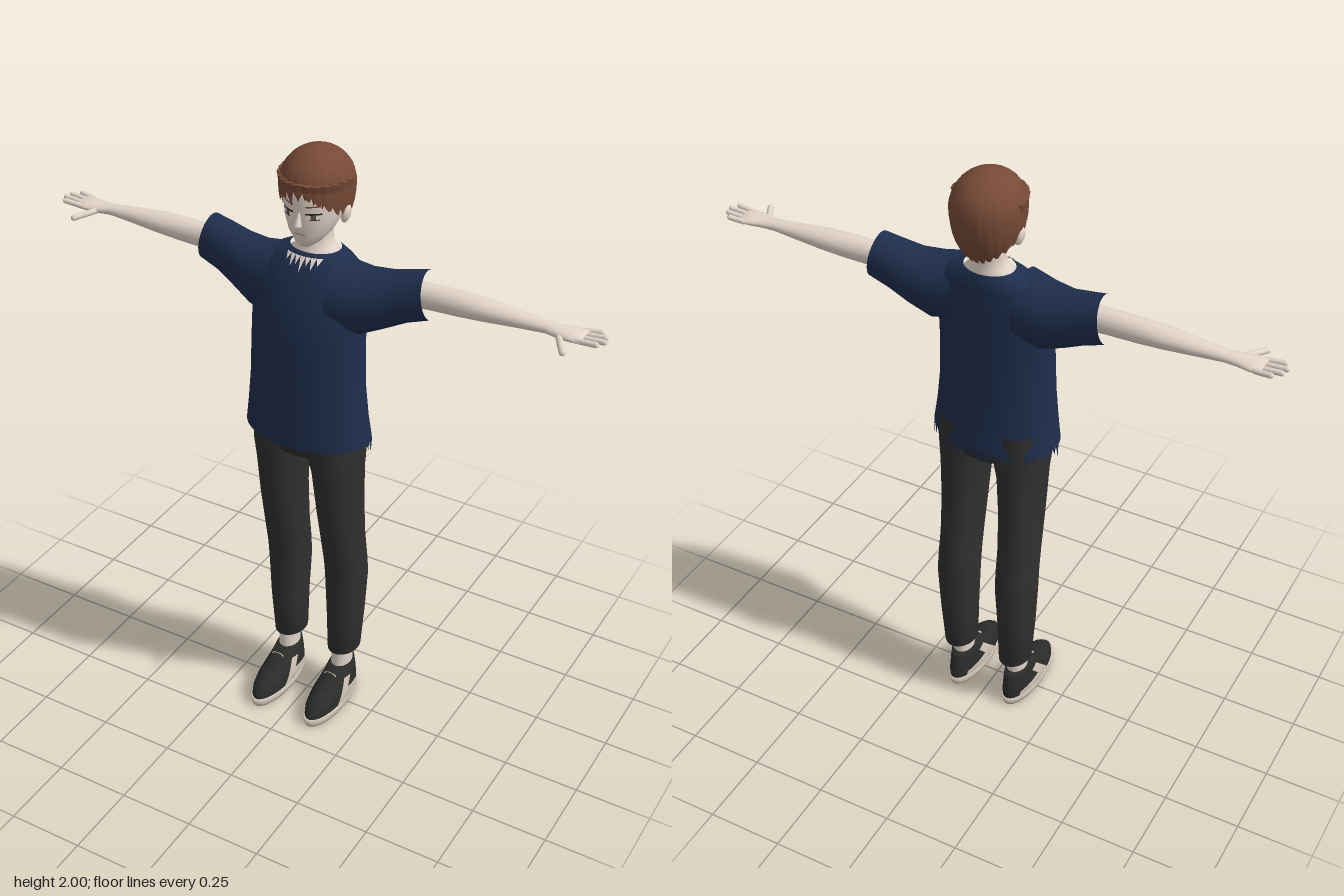
import * as THREE from 'three';

const paint = (name, color, side = THREE.FrontSide) => {
  const m = new THREE.MeshStandardMaterial({ color, side });
  m.name = name;
  return m;
};

// Upright cross-sections: [y, centre x, half width, front z, back z]
const shirtRings = [
  [1.075, 0, 0.21, 0.135, -0.145], [1.15, 0, 0.2, 0.132, -0.135], [1.25, 0, 0.19, 0.13, -0.13],
  [1.4, 0, 0.185, 0.125, -0.13], [1.5, 0, 0.185, 0.112, -0.13], [1.58, 0, 0.185, 0.085, -0.128],
  [1.64, 0, 0.168, 0.055, -0.125], [1.67, 0, 0.125, 0.035, -0.12], [1.69, 0, 0.08, 0.015, -0.112],
];
const headRings = [
  [1.715, 0, 0.02, 0.03, -0.02], [1.73, 0, 0.04, 0.042, -0.05], [1.76, 0, 0.066, 0.048, -0.08],
  [1.8, 0, 0.085, 0.052, -0.12], [1.85, 0, 0.095, 0.05, -0.14], [1.9, 0, 0.09, 0.045, -0.14],
  [1.95, 0, 0.072, 0.02, -0.12], [1.975, 0, 0.035, -0.02, -0.09],
];
const neckRings = [
  [1.62, 0, 0.1, 0.03, -0.11], [1.67, 0, 0.085, 0.018, -0.108], [1.695, 0, 0.056, 0.003, -0.102],
  [1.73, 0, 0.05, -0.005, -0.1], [1.78, 0, 0.05, 0, -0.11],
];
const legRings = [
  [0.19, 0.103, 0.052, 0, -0.135], [0.35, 0.107, 0.06, 0.009, -0.145], [0.5, 0.107, 0.068, 0.012, -0.152],
  [0.57, 0.106, 0.067, 0.022, -0.147], [0.65, 0.105, 0.066, 0.04, -0.137], [0.8, 0.103, 0.069, 0.07, -0.127],
  [0.95, 0.1, 0.076, 0.09, -0.127], [1.03, 0.094, 0.091, 0.1, -0.127], [1.14, 0.092, 0.092, 0.1, -0.127],
];
const hipRings = [[1.02, 0, 0.165, 0.09, -0.12], [1.06, 0, 0.182, 0.1, -0.126], [1.2, 0, 0.17, 0.1, -0.12]];
const ankleRings = [[0.06, 0.103, 0.034, 0, -0.1], [0.14, 0.103, 0.033, -0.008, -0.098], [0.22, 0.103, 0.036, -0.015, -0.105]];
const soleRings = [[0, 0.103, 0.053, 0.175, -0.125], [0.012, 0.103, 0.057, 0.181, -0.13], [0.03, 0.103, 0.056, 0.179, -0.129]];
const shoeRings = [
  [0.028, 0.103, 0.054, 0.175, -0.127], [0.05, 0.103, 0.054, 0.17, -0.127], [0.07, 0.103, 0.051, 0.148, -0.125],
  [0.09, 0.103, 0.046, 0.1, -0.122], [0.11, 0.103, 0.041, 0.05, -0.117], [0.132, 0.103, 0.036, 0.018, -0.112],
];
// Sideways cross-sections: [x, top y, bottom y, front z, back z, tilt]
const sleeveRings = [
  [0.1, 1.68, 1.47, 0.085, -0.12], [0.18, 1.665, 1.455, 0.07, -0.125], [0.25, 1.668, 1.485, 0.04, -0.122],
  [0.32, 1.685, 1.52, 0.02, -0.118], [0.378, 1.695, 1.545, 0.01, -0.115, -0.013],
];
const armRings = [
  [0.2, 1.65, 1.56, -0.005, -0.095], [0.38, 1.655, 1.575, -0.015, -0.088], [0.48, 1.655, 1.58, -0.013, -0.094],
  [0.56, 1.651, 1.586, -0.015, -0.094], [0.66, 1.642, 1.594, -0.025, -0.086], [0.74, 1.634, 1.6, -0.031, -0.079],
  [0.78, 1.632, 1.6, -0.022, -0.082], [0.82, 1.631, 1.602, -0.014, -0.092], [0.855, 1.628, 1.606, -0.014, -0.095],
];

function build(positions, index) {
  const g = new THREE.BufferGeometry();
  g.setAttribute('position', new THREE.Float32BufferAttribute(positions, 3));
  g.setIndex(index);
  g.computeVertexNormals();
  return g;
}

// Skins a row of elliptical cross-sections; skip(ring, angle) leaves holes
function loft(rings, { n = 32, sideways = false, caps = '', skip = () => false } = {}) {
  const p = [], idx = [];
  const tri = (a, b, c) => (sideways ? idx.push(a, c, b) : idx.push(a, b, c));
  for (const [t, a, b, f, k, tilt = 0] of rings) {
    for (let i = 0; i < n; i++) {
      const th = (i / n) * Math.PI * 2, c = Math.cos(th);
      const z = (f + k) / 2 + ((f - k) / 2) * Math.sin(th);
      if (sideways) p.push(t + tilt * c, (a + b) / 2 + ((a - b) / 2) * c, z);
      else p.push(a + b * c, t, z);
    }
  }
  for (let j = 0; j < rings.length - 1; j++) for (let i = 0; i < n; i++) {
    if (skip(j, ((i + 0.5) / n) * Math.PI * 2)) continue;
    const a = j * n + i, b = j * n + ((i + 1) % n);
    tri(a, a + n, b);
    tri(b, a + n, b + n);
  }
  const cap = (j, last) => {
    const [t, a, b, f, k] = rings[j], c = p.length / 3;
    p.push(...(sideways ? [t, (a + b) / 2, (f + k) / 2] : [a, t, (f + k) / 2]));
    for (let i = 0; i < n; i++) {
      const u = j * n + i, v = j * n + ((i + 1) % n);
      last ? tri(u, c, v) : tri(u, v, c);
    }
  };
  if (caps.includes('start')) cap(0, false);
  if (caps.includes('end')) cap(rings.length - 1, true);
  return build(p, idx);
}

// Cross-section at a height, and points lying just off the lofted surface
function section(rings, y) {
  let j = 0;
  while (j < rings.length - 2 && rings[j + 1][0] < y) j++;
  const s = (y - rings[j][0]) / (rings[j + 1][0] - rings[j][0]);
  return rings[j].map((v, i) => v + (rings[j + 1][i] - v) * s);
}
const onFront = (rings, lift) => (x, y) => {
  const [, cx, rx, f, k] = section(rings, y);
  return [x, y, (f + k) / 2 + ((f - k) / 2) * Math.sqrt(Math.max(0, 1 - ((x - cx) / rx) ** 2)) + lift];
};
const onSide = (rings, lift, s) => (z, y) => {
  const [, cx, rx, f, k] = section(rings, y);
  return [cx + s * (rx * Math.sqrt(Math.max(0, 1 - ((z - (f + k) / 2) / ((f - k) / 2)) ** 2)) + lift), y, z];
};

// Four-cornered painted patch draped on a surface, corners anticlockwise from outside
function patch(corners, map, flip = false, n = 6) {
  const p = [], idx = [], mix = (a, b, t) => a + (b - a) * t;
  for (let j = 0; j <= n; j++) for (let i = 0; i <= n; i++) {
    const q = [0, 1].map(k => mix(mix(corners[0][k], corners[1][k], i / n), mix(corners[3][k], corners[2][k], i / n), j / n));
    p.push(...map(...q));
    if (i < n && j < n) {
      const a = j * (n + 1) + i, c = a + n + 1;
      idx.push(...(flip ? [a, c, a + 1, a + 1, c, c + 1] : [a, a + 1, c, a + 1, c + 1, c]));
    }
  }
  return build(p, idx);
}

// Ragged edge: triangles seen from both sides; map(t, drop) gives a point
function teeth(count, map, depth) {
  const p = [], idx = [];
  for (let i = 0; i < count; i++) {
    const v = i * 6, pts = [map(i / count, 0), map((i + 0.5) / count, depth(i)), map((i + 1) / count, 0)];
    p.push(...pts.flat(), ...pts.flat());
    idx.push(v, v + 1, v + 2, v + 3, v + 5, v + 4);
  }
  return build(p, idx);
}

function mirrored(g) {
  const m = g.clone().applyMatrix4(new THREE.Matrix4().makeScale(-1, 1, 1));
  const a = m.index.array;
  for (let i = 0; i < a.length; i += 3) [a[i], a[i + 1]] = [a[i + 1], a[i]];
  return m;
}

// Hair cap whose lower edge drops from the brow to the nape
function hairCap(n = 72, m = 14) {
  const p = [], idx = [];
  for (let j = 0; j <= m; j++) for (let i = 0; i < n; i++) {
    const th = (i / n) * Math.PI * 2, front = Math.sin(th);
    const edge = (front > 0 ? 1.815 + 0.075 * front ** 2 : 1.815 + 0.075 * front) + [0, 0.014, -0.006][i % 3];
    const low = (edge - 1.89) / (edge > 1.89 ? 0.11 : 0.19);
    const a = (j / m) * Math.acos(low), c = Math.cos(a);
    const r = Math.sin(a) * (1 + 0.012 * Math.cos(th * 24) * (j / m));
    p.push(0.11 * r * Math.cos(th), 1.89 + (c > 0 ? 0.11 : 0.19) * c, -0.055 + 0.122 * r * front);
    if (j < m) {
      const u = j * n + i, v = j * n + ((i + 1) % n);
      idx.push(u, v, u + n, v, v + n, u + n);
    }
  }
  return build(p, idx);
}

export function createModel() {
  const model = new THREE.Group();
  const skin = paint('skin', 0xe4d6cb), navy = paint('navy cloth', 0x1f2e4d), black = paint('charcoal cloth', 0x303030);
  const brown = paint('brown hair', 0x774a36, THREE.DoubleSide), leather = paint('dark shoe', 0x2a2c2a);
  const cream = paint('cream rubber', 0xcdc0b3), ink = paint('dark lash', 0x2b2320);
  const white = paint('eye white', 0xf2eeea), iris = paint('iris', 0x6a5448), lip = paint('lip', 0xb98f84);
  const add = (name, geometry, material) => {
    const mesh = new THREE.Mesh(geometry, material);
    mesh.name = name;
    model.add(mesh);
    return mesh;
  };
  const pair = (name, g, material) => {
    add(name + 'Left', g, material);
    add(name + 'Right', mirrored(g), material);
  };

  // Shirt, open at the neck, hem and sleeves
  add('shirtBody', loft(shirtRings, { n: 48, skip: (j, th) => (j === 4 || j === 5) && Math.abs(Math.cos(th)) > 0.87 }), navy);
  pair('sleeve', loft(sleeveRings, { sideways: true }), navy);
  add('raggedHem', teeth(26, (t, d) => {
    const th = Math.PI * (0.98 + 1.04 * t), grow = 1 + d * 0.25;
    return [0.21 * grow * Math.cos(th), 1.078 - d, -0.005 + 0.14 * grow * Math.sin(th)];
  }, i => [0.045, 0.025, 0.035][i % 3]), navy);

  // Trousers
  add('hips', loft(hipRings, { caps: 'start' }), black);
  pair('trouserLeg', loft(legRings, { n: 24, caps: 'start' }), black);

  // Shoes and ankles
  pair('ankle', loft(ankleRings, { n: 20 }), skin);
  pair('shoeSole', loft(soleRings, { caps: 'start end' }), cream);
  pair('shoeUpper', loft(shoeRings, { caps: 'end' }), leather);
  for (const s of [1, -1]) {
    const map = onSide(shoeRings, 0.003, s), flip = s < 0;
    pair('shoeStripe', patch([[0.075, 0.032], [0.03, 0.032], [-0.03, 0.1], [0.005, 0.105]], map, flip), cream);
    pair('shoeHeelPanel', patch([[0.03, 0.03], [-0.1, 0.03], [-0.095, 0.05], [0.0, 0.068]], map, flip), cream);
  }
  for (let i = 0; i < 3; i++) {
    const g = new THREE.TorusGeometry(0.02, 0.003, 6, 16, Math.PI);
    g.scale(1, 0.35, 1).rotateX(-0.5).translate(0.103, 0.12 - i * 0.012, 0.03 + i * 0.024);
    pair('lace', g, i ? leather : cream);
  }

  // Arms and hands
  pair('arm', loft(armRings, { n: 24, sideways: true, caps: 'end' }), skin);
  const digit = (name, a, b, r) => {
    const from = new THREE.Vector3(...a), dir = new THREE.Vector3(...b).sub(from), len = dir.length();
    const g = new THREE.CapsuleGeometry(r, len - r, 4, 10);
    g.applyQuaternion(new THREE.Quaternion().setFromUnitVectors(new THREE.Vector3(0, 1, 0), dir.clone().normalize()));
    const c = from.addScaledVector(dir, 0.5);
    pair(name, g.translate(c.x, c.y, c.z), skin);
  };
  [[-0.087, 0.89, -0.094], [-0.067, 0.912, -0.07], [-0.045, 0.918, -0.045], [-0.024, 0.903, -0.02]].forEach(
    ([z, tip, tipZ]) => digit('finger', [0.835, 1.617, z], [tip, 1.623, tipZ], 0.0085));
  digit('thumb', [0.785, 1.613, -0.03], [0.828, 1.606, 0.042], 0.01);

  // Neck, head and ragged neckline
  add('neck', loft(neckRings), skin);
  add('head', loft(headRings, { caps: 'start end' }), skin);
  const chest = onFront(shirtRings, 0.005);
  add('raggedNeckline', teeth(7, (t, d) => chest(-0.06 + 0.12 * t, 1.682 - d), i => [0.018, 0.03, 0.022, 0.04][i < 4 ? i : 6 - i]), skin);
  pair('ear', new THREE.SphereGeometry(1, 14, 10).scale(0.013, 0.03, 0.02).rotateZ(-0.2).translate(0.098, 1.812, -0.05), skin);
  add('nose', new THREE.ConeGeometry(0.012, 0.05, 8).scale(1, 1, 1.1).rotateX(-0.25).translate(0, 1.816, 0.053), skin);

  // Face details
  const rect = (x0, y0, x1, y1, slant = 0) => [[x0, y0], [x1, y0 + slant], [x1, y1 + slant], [x0, y1]];
  const face = lift => onFront(headRings, lift);
  pair('eyeWhite', patch(rect(0.024, 1.815, 0.06, 1.83, 0.002), face(0.002)), white);
  pair('iris', patch(rect(0.035, 1.815, 0.049, 1.831), face(0.003)), iris);
  pair('upperLash', patch(rect(0.02, 1.829, 0.064, 1.834, 0.002), face(0.004)), ink);
  pair('lowerLash', patch(rect(0.032, 1.8125, 0.058, 1.815, 0.002), face(0.004)), ink);
  pair('brow', patch(rect(0.02, 1.851, 0.062, 1.855, 0.004), face(0.003)), brown);
  add('mouth', patch(rect(-0.017, 1.761, 0.017, 1.765), face(0.002)), lip);

  // Hair: cap, fringe and side locks as [angle from front, tip height]
  add('hairCap', hairCap(), brown);
  const locks = [[-1.5, 1.8], [-1.25, 1.815], [-1.0, 1.835], [-0.75, 1.85], [-0.5, 1.862], [-0.25, 1.85], [0, 1.868],
    [0.25, 1.875], [0.5, 1.86], [0.75, 1.848], [1.0, 1.835], [1.25, 1.815], [1.5, 1.8]];
  for (const [a, tip] of locks) {
    const h = 1.925 - tip, lock = add('hairLock', new THREE.ConeGeometry(0.021, h, 6), brown);
    lock.geometry.scale(1, -1, 0.4);
    const ix = lock.geometry.index.array;
    for (let i = 0; i < ix.length; i += 3) [ix[i], ix[i + 1]] = [ix[i + 1], ix[i]];
    lock.position.set(0.103 * Math.sin(a), 1.925 - h / 2, -0.055 + 0.117 * Math.cos(a));
    lock.rotation.set(0.06, a, a < 0.2 ? 0.12 : -0.12, 'YXZ');
  }
  return model;
}
